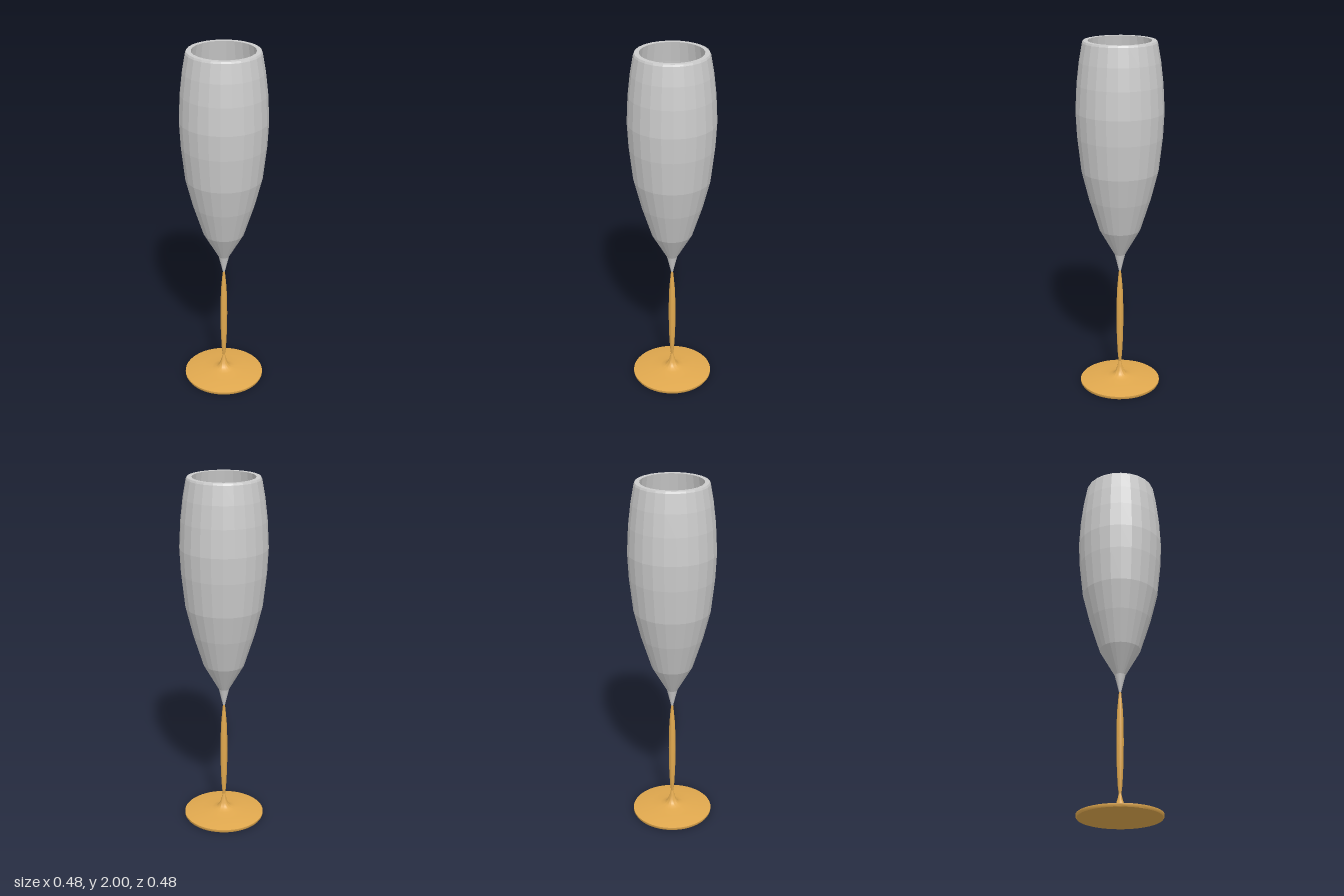
import * as THREE from 'three';
import { toCreasedNormals } from 'three/addons/utils/BufferGeometryUtils.js';

const lathe = (profile, sides) =>
  new THREE.LatheGeometry(profile.map(([r, y]) => new THREE.Vector2(r, y)), sides);

export function createModel() {
  const group = new THREE.Group();
  group.name = 'fluteGlass';

  // Faceted bowl: up the outside, over the rim, down the inside
  const bowlProfile = [
    [0.006, 0.70], [0.03, 0.80], [0.115, 0.95], [0.172, 1.13], [0.212, 1.29],
    [0.233, 1.48], [0.24, 1.62], [0.232, 1.77], [0.218, 1.89], [0.2, 1.99],
    [0.195, 2.0], [0.17, 2.0],
    [0.188, 1.89], [0.202, 1.77], [0.21, 1.62], [0.206, 1.48], [0.19, 1.31],
    [0.16, 1.15], [0.115, 0.98], [0.03, 0.83], [0.01, 0.74], [0.006, 0.70],
  ];
  const bowl = new THREE.Mesh(
    lathe(bowlProfile, 24),
    new THREE.MeshStandardMaterial({ color: 0xcccccc, flatShading: true })
  );
  bowl.name = 'bowl';

  const gold = new THREE.MeshStandardMaterial({ color: 0xe0a84e });

  // Slender stem, swelling in the middle; its tip shows inside the bowl
  const stemProfile = [
    [0.007, 0.13], [0.012, 0.17], [0.016, 0.24], [0.019, 0.32], [0.02, 0.42],
    [0.019, 0.51], [0.016, 0.59], [0.01, 0.66], [0.006, 0.70], [0.01, 0.74], [0, 0.745],
  ];
  const stem = new THREE.Mesh(toCreasedNormals(lathe(stemProfile, 24), 0.7), gold);
  stem.name = 'stem';

  // Flat disc foot flaring up into the stem
  const footProfile = [
    [0, 0.005], [0.225, 0.005], [0.23, 0.008], [0.23, 0.018], [0.19, 0.026], [0.13, 0.034],
    [0.07, 0.04], [0.045, 0.046], [0.032, 0.056], [0.022, 0.075], [0.014, 0.10], [0.007, 0.13],
  ];
  footProfile[0][1] = footProfile[1][1] = 0;
  const foot = new THREE.Mesh(toCreasedNormals(lathe(footProfile, 48), 0.7), gold);
  foot.name = 'foot';

  group.add(bowl, stem, foot);
  return group;
}
